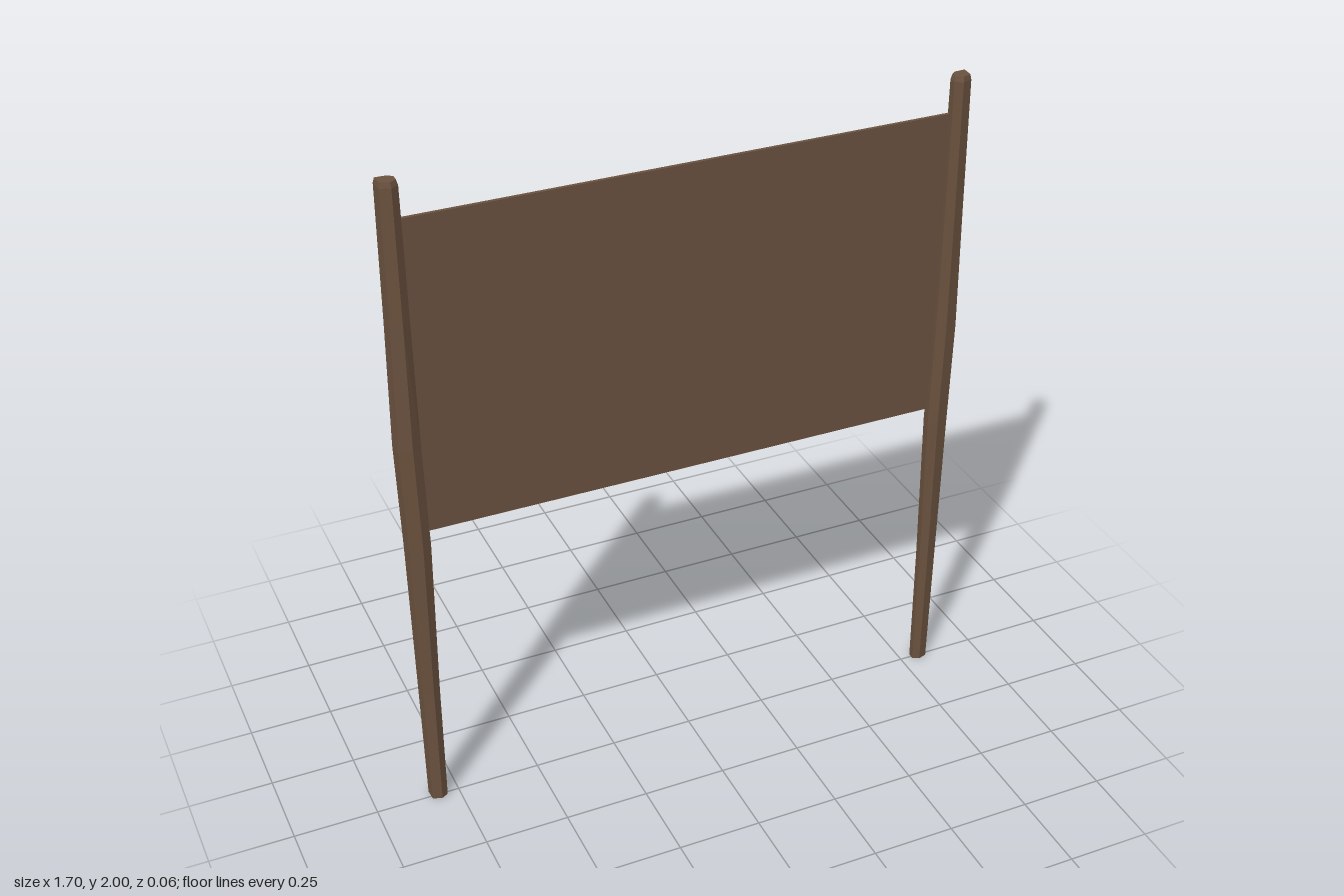
import * as THREE from 'three';

// Hewn post: six-sided outline lofted through uneven levels.
// Each level: height, inner x, outer x, back z, front z
const LEVELS = [
  [0, 0.787, 0.836, -0.023, 0.02],
  [0.4, 0.785, 0.839, -0.024, 0.023],
  [0.9, 0.777, 0.843, -0.026, 0.028],
  [1.22, 0.782, 0.849, -0.028, 0.028],
  [1.6, 0.784, 0.842, -0.028, 0.028],
  [1.985, 0.785, 0.838, -0.026, 0.025],
  [2, 0.789, 0.835, -0.022, 0.021],
];
// Outline as fractions across x (inner to outer) and z (back to front)
const OUTLINE = [[0, 0.3], [0, 0.75], [0.4, 1], [0.95, 0.8], [1, 0], [0.3, 0.03]];

function postGeometry(side) {
  const rings = LEVELS.map(([y, xi, xo, zb, zf]) =>
    OUTLINE.map(([u, v]) => [side * (xi + (xo - xi) * u), y, zb + (zf - zb) * v]));
  const pos = [];
  const tri = (a, b, c) => (side > 0 ? pos.push(...a, ...b, ...c) : pos.push(...a, ...c, ...b));
  const n = OUTLINE.length;
  for (let r = 0; r < rings.length - 1; r++) {
    for (let i = 0; i < n; i++) {
      const j = (i + 1) % n;
      const a = rings[r][i], b = rings[r][j], c = rings[r + 1][j], d = rings[r + 1][i];
      tri(a, b, c);
      tri(a, c, d);
    }
  }
  // End caps
  const bottom = rings[0], top = rings[rings.length - 1];
  for (let i = 1; i < n - 1; i++) {
    tri(top[0], top[i], top[i + 1]);
    tri(bottom[0], bottom[i + 1], bottom[i]);
  }
  const g = new THREE.BufferGeometry();
  g.setAttribute('position', new THREE.Float32BufferAttribute(pos, 3));
  g.computeVertexNormals();
  return g;
}

export function createModel() {
  const group = new THREE.Group();
  group.name = 'woodenSignBoard';
  const wood = new THREE.MeshStandardMaterial({ color: 0x6b523f });
  wood.name = 'brown wood';

  // Mirrored pair of posts
  for (const [side, name] of [[1, 'leftPost'], [-1, 'rightPost']]) {
    const post = new THREE.Mesh(postGeometry(side), wood);
    post.name = name;
    group.add(post);
  }

  // Thin board held between the posts
  const board = new THREE.Mesh(new THREE.BoxGeometry(1.6, 0.945, 0.01), wood);
  board.name = 'board';
  board.position.set(0, 1.415, -0.004);
  group.add(board);
  return group;
}
